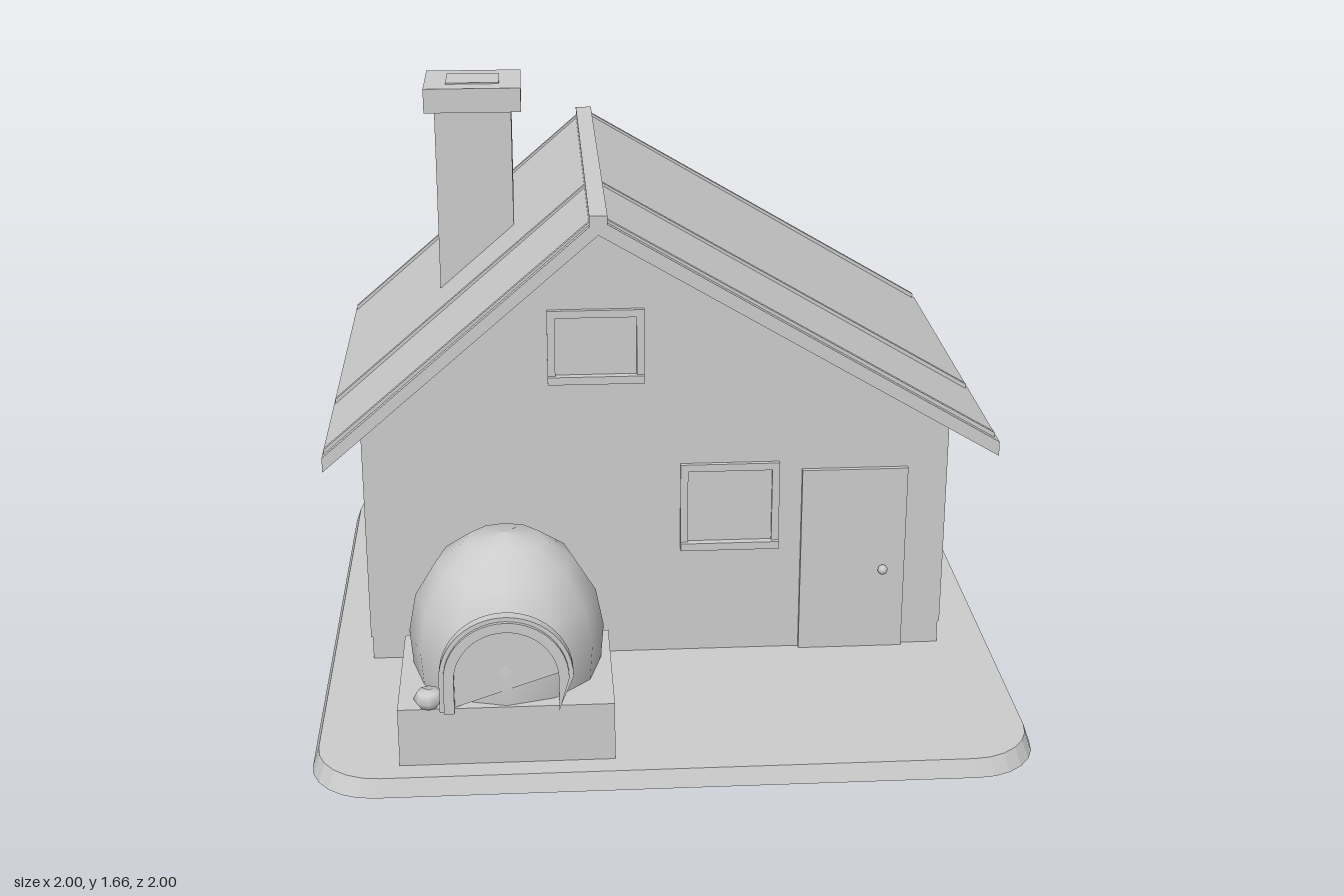
import * as THREE from 'three';

export function createModel() {
  const model = new THREE.Group();
  const clay = new THREE.MeshStandardMaterial({ color: 0xcccccc });
  clay.name = 'pale grey';

  const add = (name, geometry) => {
    const mesh = new THREE.Mesh(geometry, clay);
    mesh.name = name;
    model.add(mesh);
    return mesh;
  };
  // Box given by its limits on each axis
  const box = (name, x0, x1, y0, y1, z0, z1) => add(name,
    new THREE.BoxGeometry(x1 - x0, y1 - y0, z1 - z0)
      .translate((x0 + x1) / 2, (y0 + y1) / 2, (z0 + z1) / 2));
  // Front outline pushed through from z0 to z1
  const prism = (name, outline, z0, z1) => {
    const shape = Array.isArray(outline)
      ? new THREE.Shape(outline.map(([x, y]) => new THREE.Vector2(x, y))) : outline;
    return add(name, new THREE.ExtrudeGeometry(shape,
      { depth: z1 - z0, bevelEnabled: false, curveSegments: 12 }).translate(0, 0, z0));
  };

  // Ground slab: rounded square, slightly narrower at the top
  const r = 0.18, c = 1 - r;
  const slab = new THREE.Shape();
  slab.absarc(c, c, r, 0, Math.PI / 2);
  slab.absarc(-c, c, r, Math.PI / 2, Math.PI);
  slab.absarc(-c, -c, r, Math.PI, Math.PI * 1.5);
  slab.absarc(c, -c, r, Math.PI * 1.5, Math.PI * 2);
  slab.closePath();
  const slabGeo = new THREE.ExtrudeGeometry(slab, { depth: 0.05, bevelEnabled: false, curveSegments: 3 });
  slabGeo.rotateX(-Math.PI / 2);
  const p = slabGeo.attributes.position;
  for (let i = 0; i < p.count; i++) {
    if (p.getY(i) > 0.02) p.setXYZ(i, p.getX(i) * 0.983, p.getY(i), p.getZ(i) * 0.983);
  }
  slabGeo.computeVertexNormals();
  add('groundSlab', slabGeo);

  // House walls with gables, on a slightly inset plinth
  box('plinth', -0.865, 0.835, 0.05, 0.12, -0.78, 0.3);
  prism('walls', [[-0.87, 0.12], [0.84, 0.12], [0.84, 0.81], [-0.185, 1.4], [-0.87, 0.81]], -0.78, 0.3);

  // Roof, ridge cap and battens
  const ridgeX = -0.185;
  prism('roof', [[-0.97, 0.71], [ridgeX, 1.39], [0.96, 0.71], [0.96, 0.753],
    [ridgeX, 1.435], [-0.97, 0.753]], -0.91, 0.43);
  box('ridgeCap', -0.21, -0.16, 1.4, 1.445, -0.91, 0.43);
  for (const z of [0.402, 0.004, -0.893]) {
    for (const [x, y] of [[-0.965, 0.757], [0.948, 0.76]]) {
      const batten = [[x, y], [ridgeX, 1.43], [ridgeX, 1.443], [x, y + 0.014]];
      prism('roofBatten', x > 0 ? batten : batten.reverse(), z - 0.008, z + 0.008);
    }
  }

  // Chimney
  box('chimney', -0.65, -0.42, 0.85, 1.59, -0.455, -0.25);
  box('chimneyCap', -0.68, -0.39, 1.587, 1.66, -0.49, -0.22);
  box('chimneyFlue', -0.615, -0.455, 1.65, 1.664, -0.425, -0.285);

  // Windows with frame, pane and sill
  const makeWindow = (x0, x1, y0, y1) => {
    const rect = (path, d) => path.moveTo(x0 + d, y0 + d).lineTo(x1 - d, y0 + d)
      .lineTo(x1 - d, y1 - d).lineTo(x0 + d, y1 - d).closePath();
    const frame = new THREE.Shape(), hole = new THREE.Path();
    rect(frame, 0);
    rect(hole, 0.022);
    frame.holes.push(hole);
    prism('windowFrame', frame, 0.295, 0.314);
    box('windowPane', x0 + 0.02, x1 - 0.02, y0 + 0.02, y1 - 0.02, 0.298, 0.304);
    box('windowSill', x0, x1, y0, y0 + 0.023, 0.295, 0.327);
  };
  makeWindow(-0.33, -0.053, 0.918, 1.136);
  makeWindow(0.052, 0.343, 0.387, 0.656);

  // Door and knob
  box('door', 0.41, 0.722, 0.05, 0.63, 0.295, 0.315);
  add('doorKnob', new THREE.SphereGeometry(0.015, 10, 8).translate(0.655, 0.31, 0.33));

  // Outdoor oven: block, dome, arch and mouth
  box('ovenBase', -0.755, -0.17, 0.05, 0.22, 0.49, 0.92);
  const dome = [[0, 0.21], [0.262, 0.21], [0.271, 0.32], [0.25, 0.43], [0.19, 0.53], [0.105, 0.592], [0, 0.613]];
  const domeGeo = new THREE.LatheGeometry(
    dome.slice(1).map(([x, y]) => new THREE.Vector2(x, y)), 12);
  add('ovenDome', domeGeo).position.set(-0.46, 0, 0.65);
  add('ovenDomeBottom', new THREE.CircleGeometry(0.262, 12).rotateX(Math.PI / 2))
    .position.set(-0.46, 0.21, 0.65);

  const ox = -0.46, oy = 0.318;
  const archRing = (outer, inner) => {
    const s = new THREE.Shape();
    s.moveTo(ox + outer, 0.22);
    s.absarc(ox, oy, outer, 0, Math.PI);
    s.lineTo(ox - outer, 0.22);
    if (inner) {
      s.lineTo(ox - inner, 0.22);
      s.absarc(ox, oy, inner, Math.PI, 0, true);
      s.lineTo(ox + inner, 0.22);
    }
    s.closePath();
    return s;
  };
  prism('ovenArch', archRing(0.18, 0.14), 0.91, 0.94);
  prism('ovenArchLip', archRing(0.168, 0.14), 0.93, 0.95);
  prism('ovenMouth', archRing(0.145), 0.8, 0.916);

  // Small pot beside the oven mouth
  const pot = [[0, 0.22], [0.025, 0.22], [0.043, 0.243], [0.03, 0.265], [0, 0.268]];
  add('pot', new THREE.LatheGeometry(pot.map(([x, y]) => new THREE.Vector2(x, y)), 8))
    .position.set(-0.67, 0, 0.9);

  return model;
}
